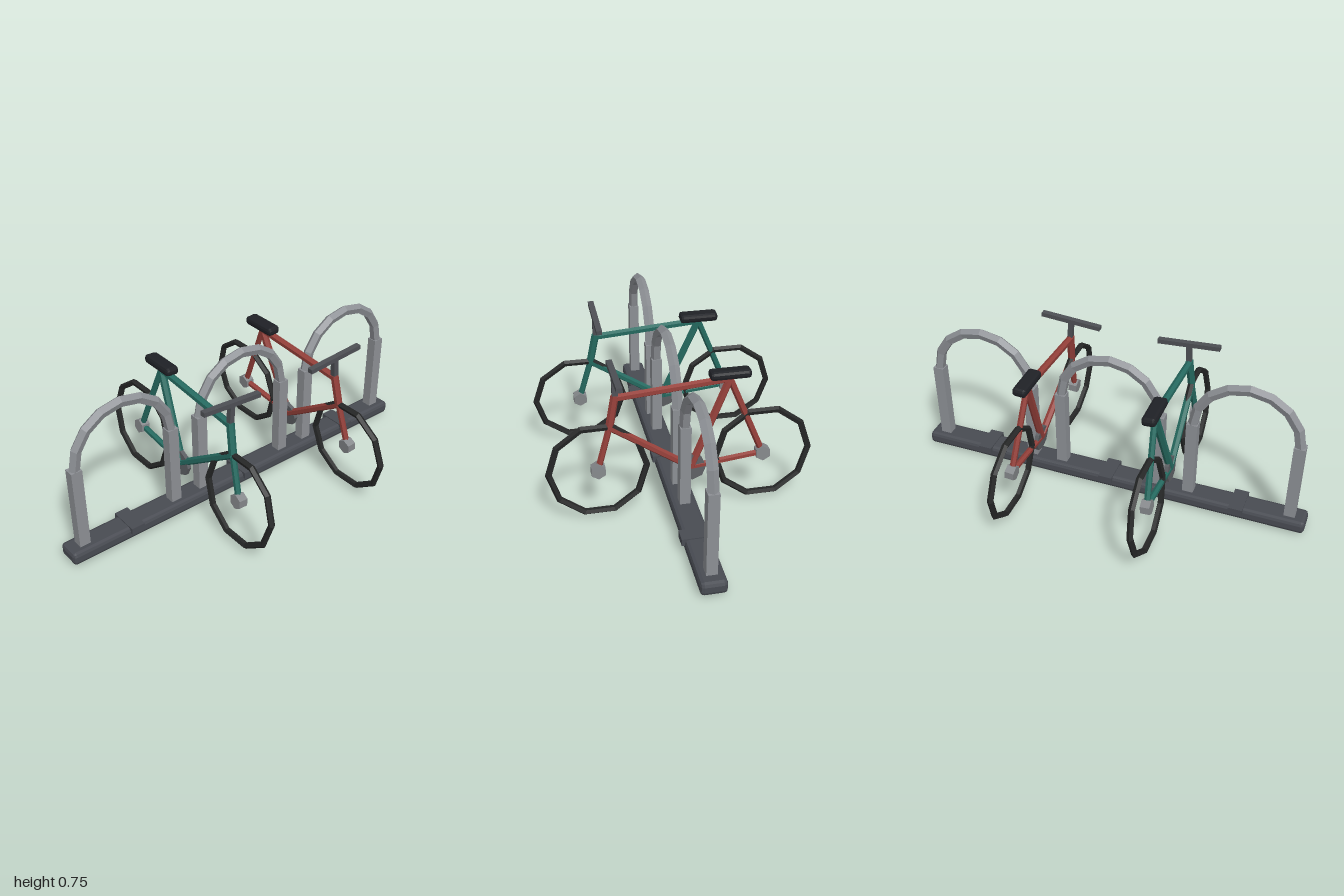
import * as THREE from 'three';
import { RoundedBoxGeometry } from 'three/addons/geometries/RoundedBoxGeometry.js';

const mat = (color) => new THREE.MeshStandardMaterial({ color, flatShading: true });
const railMat = mat(0x484b52);
const steelMat = mat(0x8c8f94);
const tyreMat = mat(0x262727);
const saddleMat = mat(0x1f2126);
const barMat = mat(0x4d4f54);
const hubMat = mat(0x84878a);
const ringMat = mat(0x5c5e62);

function add(parent, name, geometry, material, x = 0, y = 0, z = 0) {
  const mesh = new THREE.Mesh(geometry, material);
  mesh.name = name;
  mesh.position.set(x, y, z);
  parent.add(mesh);
  return mesh;
}

// Straight tube between two [z, y] points in the plane of the bicycle
function tube(parent, name, a, b, radius, material) {
  const start = new THREE.Vector3(0, a[1], a[0]);
  const end = new THREE.Vector3(0, b[1], b[0]);
  const dir = end.clone().sub(start);
  const mid = start.clone().add(end).multiplyScalar(0.5);
  const geometry = new THREE.CylinderGeometry(radius, radius, dir.length(), 6);
  const mesh = add(parent, name, geometry, material, mid.x, mid.y, mid.z);
  mesh.quaternion.setFromUnitVectors(new THREE.Vector3(0, 1, 0), dir.normalize());
}

function createBicycle(color) {
  const bike = new THREE.Group();
  const paint = mat(color);

  // Wheels and hubs
  const wheelGeo = new THREE.TorusGeometry(0.224, 0.016, 5, 10).rotateY(Math.PI / 2);
  const hubGeo = new THREE.CylinderGeometry(0.037, 0.037, 0.045, 6).rotateZ(Math.PI / 2);
  hubGeo.rotateX(Math.PI / 2);
  for (const [end, z] of [['front', 0.385], ['rear', -0.385]]) {
    add(bike, end + 'Tyre', wheelGeo, tyreMat, 0, 0.254, z);
    add(bike, end + 'Hub', hubGeo, hubMat, 0, 0.254, z);
  }

  // Frame joints as [z, y]
  const headTop = [0.297, 0.605];
  const headLow = [0.325, 0.465];
  const frontAxle = [0.385, 0.254];
  const rearAxle = [-0.385, 0.254];
  const seatJoint = [-0.225, 0.645];
  const crank = [-0.045, 0.218];
  tube(bike, 'headTube', [0.295, 0.618], headLow, 0.019, paint);
  tube(bike, 'fork', headLow, frontAxle, 0.015, paint);
  tube(bike, 'topTube', headTop, seatJoint, 0.018, paint);
  tube(bike, 'downTube', headLow, crank, 0.018, paint);
  tube(bike, 'seatTube', crank, seatJoint, 0.019, paint);
  tube(bike, 'seatStay', seatJoint, rearAxle, 0.015, paint);
  tube(bike, 'chainStay', crank, rearAxle, 0.015, paint);

  // Chainring
  const ringGeo = new THREE.CylinderGeometry(0.065, 0.065, 0.02, 8).rotateZ(Math.PI / 2);
  add(bike, 'chainring', ringGeo, ringMat, 0, 0.216, -0.05);

  // Saddle and handlebar
  add(bike, 'saddle', new RoundedBoxGeometry(0.068, 0.042, 0.19, 1, 0.015), saddleMat, 0, 0.67, -0.225);
  add(bike, 'handlebarStem', new THREE.BoxGeometry(0.024, 0.1, 0.026), barMat, 0, 0.655, 0.295);
  add(bike, 'handlebar', new THREE.BoxGeometry(0.31, 0.022, 0.028), barMat, 0, 0.711, 0.295);
  return bike;
}

export function createModel() {
  const model = new THREE.Group();
  model.name = 'bicycleRack';

  // Chamfered ground rail
  add(model, 'groundRail', new RoundedBoxGeometry(2, 0.064, 0.12, 1, 0.018), railMat, 0, 0.042, 0);

  // Three hoops, each with two square posts and a rail clamp
  const postGeo = new THREE.BoxGeometry(0.054, 0.48, 0.05);
  const archGeo = new THREE.TorusGeometry(0.252, 0.026, 5, 8, Math.PI);
  const clampGeo = new THREE.BoxGeometry(0.07, 0.034, 0.148);
  for (const x of [-0.667, 0, 0.667]) {
    const hoop = new THREE.Group();
    hoop.name = 'hoop';
    hoop.position.x = x;
    for (const side of [-1, 1]) add(hoop, 'post', postGeo, steelMat, side * 0.252, 0.24, 0);
    add(hoop, 'arch', archGeo, steelMat, 0, 0.474, 0);
    add(hoop, 'railClamp', clampGeo, railMat, 0, 0.062, 0);
    model.add(hoop);
  }

  // Two bicycles leaning towards the middle hoop
  for (const [name, color, x, lean] of [
    ['redBicycle', 0x95403a, 0.367, 0.07],
    ['greenBicycle', 0x266b61, -0.343, -0.07],
  ]) {
    const bike = createBicycle(color);
    bike.name = name;
    bike.position.x = x;
    bike.rotation.z = lean;
    model.add(bike);
  }
  return model;
}
